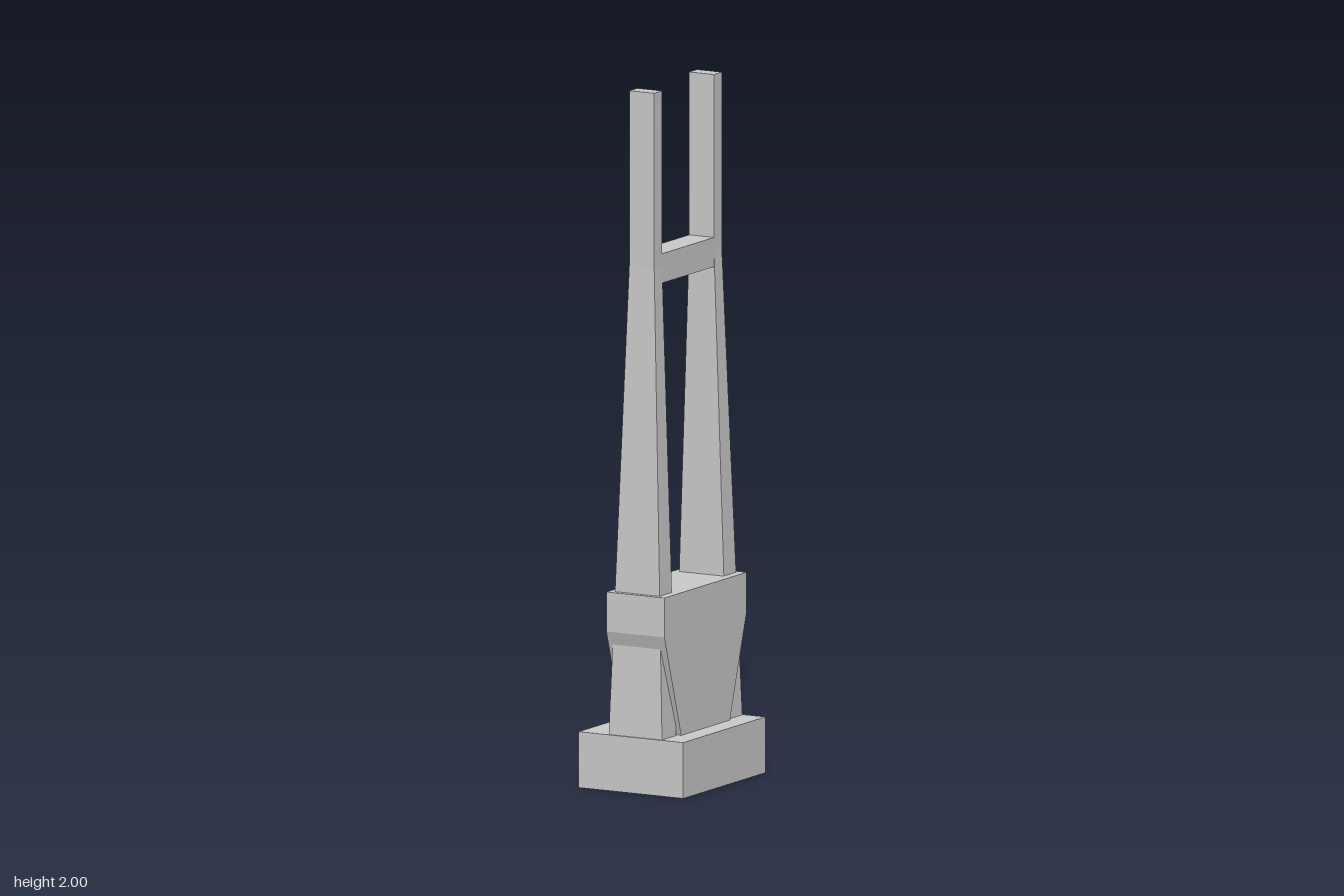
import * as THREE from 'three';

const material = new THREE.MeshStandardMaterial({ color: 0xcccccc, flatShading: true, side: THREE.DoubleSide });

function add(group, name, geometry) {
  const mesh = new THREE.Mesh(geometry, material);
  mesh.name = name;
  group.add(mesh);
  return mesh;
}

// Box without its underside (BoxGeometry group 3 is the -y face)
function openBox(w, h, d, rows = 1) {
  const g = new THREE.BoxGeometry(w, h, d, 1, rows, 1);
  const hidden = g.groups[3];
  const index = Array.from(g.index.array);
  index.splice(hidden.start, hidden.count);
  g.setIndex(index);
  g.clearGroups();
  return g;
}

// Hollow post: tapered up to the kink, then straight; inner face stays vertical
function postGeometry(side) {
  const centreX = 0.0115, inner = 0.146;
  const levels = [
    { y: 0, halfX: 0.092, outer: 0.23 },
    { y: 1.5, halfX: 0.0405, outer: 0.19 },
    { y: 2, halfX: 0.0405, outer: 0.19 },
  ];
  const g = openBox(1, 2, 1, 2);
  const p = g.attributes.position;
  for (let i = 0; i < p.count; i++) {
    const level = levels[Math.round(p.getY(i) + 1)];
    const isOuter = p.getZ(i) * side > 0;
    p.setXYZ(i, centreX + Math.sign(p.getX(i)) * level.halfX, level.y, side * (isOuter ? level.outer : inner));
  }
  g.computeVertexNormals();
  return g;
}

export function createModel() {
  const model = new THREE.Group();
  model.name = 'twinPostTower';

  // Plinth, open underneath
  add(model, 'base', openBox(0.34, 0.16, 0.462)).position.y = 0.08;

  // Body with sloping lower ends, extruded across x
  const outline = new THREE.Shape([
    [-0.137, 0.16], [0.137, 0.16], [0.231, 0.455],
    [0.231, 0.568], [-0.231, 0.568], [-0.231, 0.455],
  ].map(([z, y]) => new THREE.Vector2(z, y)));
  const body = new THREE.ExtrudeGeometry(outline, { depth: 0.189, bevelEnabled: false });
  body.rotateY(-Math.PI / 2);
  body.translate(0.109, 0, 0);
  add(model, 'body', body);

  // Posts run from the ground through the body to the top
  add(model, 'frontPost', postGeometry(1));
  add(model, 'backPost', postGeometry(-1));

  // Crossbar joining the posts
  add(model, 'crossbar', new THREE.BoxGeometry(0.081, 0.084, 0.292)).position.set(0.0115, 1.492, 0);

  return model;
}
